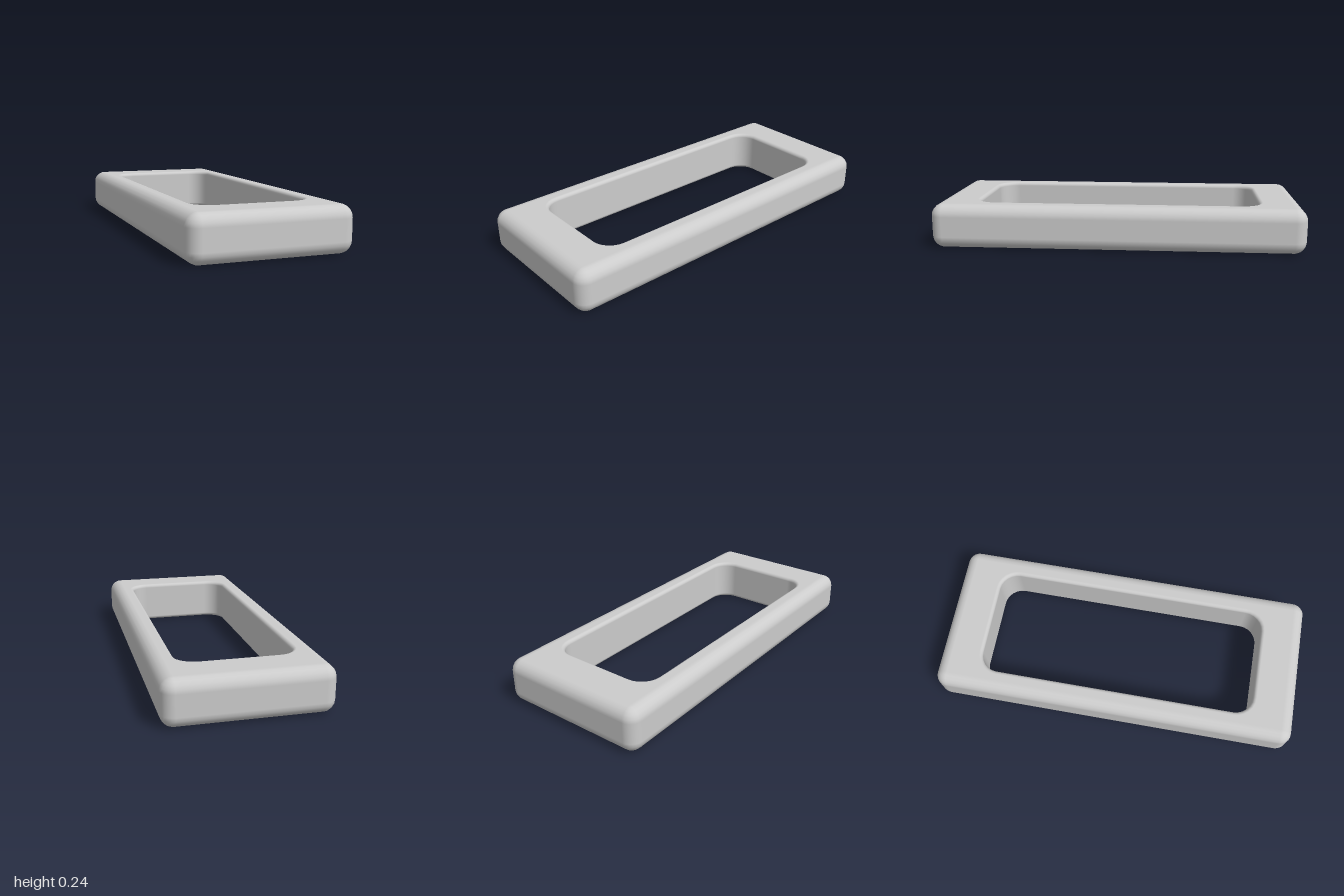
import * as THREE from 'three';

const HEIGHT = 0.24;
const CORNER_STEPS = 6;
const EDGE_STEPS = 5;

// Four rounded corners, each a list of angles about its own centre
function cornerPoints() {
  const points = [];
  const signs = [[1, 1], [-1, 1], [-1, -1], [1, -1]];
  signs.forEach(([sx, sz], quarter) => {
    for (let k = 0; k <= CORNER_STEPS; k++) {
      points.push({ sx, sz, angle: (quarter + k / CORNER_STEPS) * Math.PI / 2 });
    }
  });
  return points;
}

// Rounded edges swept around one rim, from pitch `start` through half a turn
function rimRings(cx, cz, radius, fillet, start) {
  const rings = [];
  for (let half = 0; half < 2; half++) {
    for (let k = 0; k <= EDGE_STEPS; k++) {
      const pitch = start + (half + k / EDGE_STEPS) * Math.PI / 2;
      const s = Math.sin(pitch);
      const middle = s > 0.001 || (Math.abs(s) <= 0.001 && (half === 1) === (start < 0))
        ? HEIGHT - fillet : fillet;
      rings.push({ cx, cz, pitch, y: middle + fillet * s, radius: radius + fillet * Math.cos(pitch) });
    }
  }
  return rings;
}

function frameGeometry() {
  const corners = cornerPoints();
  const rings = [
    ...rimRings(0.355, 0.935, 0, 0.065, -Math.PI / 2), // outside, bottom to top
    ...rimRings(0.2, 0.665, 0.12, 0.02, Math.PI / 2),  // opening, top to bottom
  ];
  const positions = [], normals = [], indices = [];
  const n = corners.length;
  rings.forEach((ring, i) => {
    const next = (i + 1) % rings.length;
    corners.forEach(({ sx, sz, angle }, j) => {
      const c = Math.cos(angle), s = Math.sin(angle), flat = Math.cos(ring.pitch);
      positions.push(sx * ring.cx + ring.radius * c, ring.y, sz * ring.cz + ring.radius * s);
      normals.push(flat * c, Math.sin(ring.pitch), flat * s);
      const a = i * n + j, b = next * n + j;
      const d = i * n + (j + 1) % n, e = next * n + (j + 1) % n;
      indices.push(a, b, d, b, e, d);
    });
  });
  const geometry = new THREE.BufferGeometry();
  geometry.setAttribute('position', new THREE.Float32BufferAttribute(positions, 3));
  geometry.setAttribute('normal', new THREE.Float32BufferAttribute(normals, 3));
  geometry.setIndex(indices);
  return geometry;
}

export function createModel() {
  const grey = new THREE.MeshStandardMaterial({ color: 0xcccccc });
  grey.name = 'light grey';

  const model = new THREE.Group();
  model.name = 'rectangularLink';
  const frame = new THREE.Mesh(frameGeometry(), grey);
  frame.name = 'frame';
  model.add(frame);
  return model;
}
